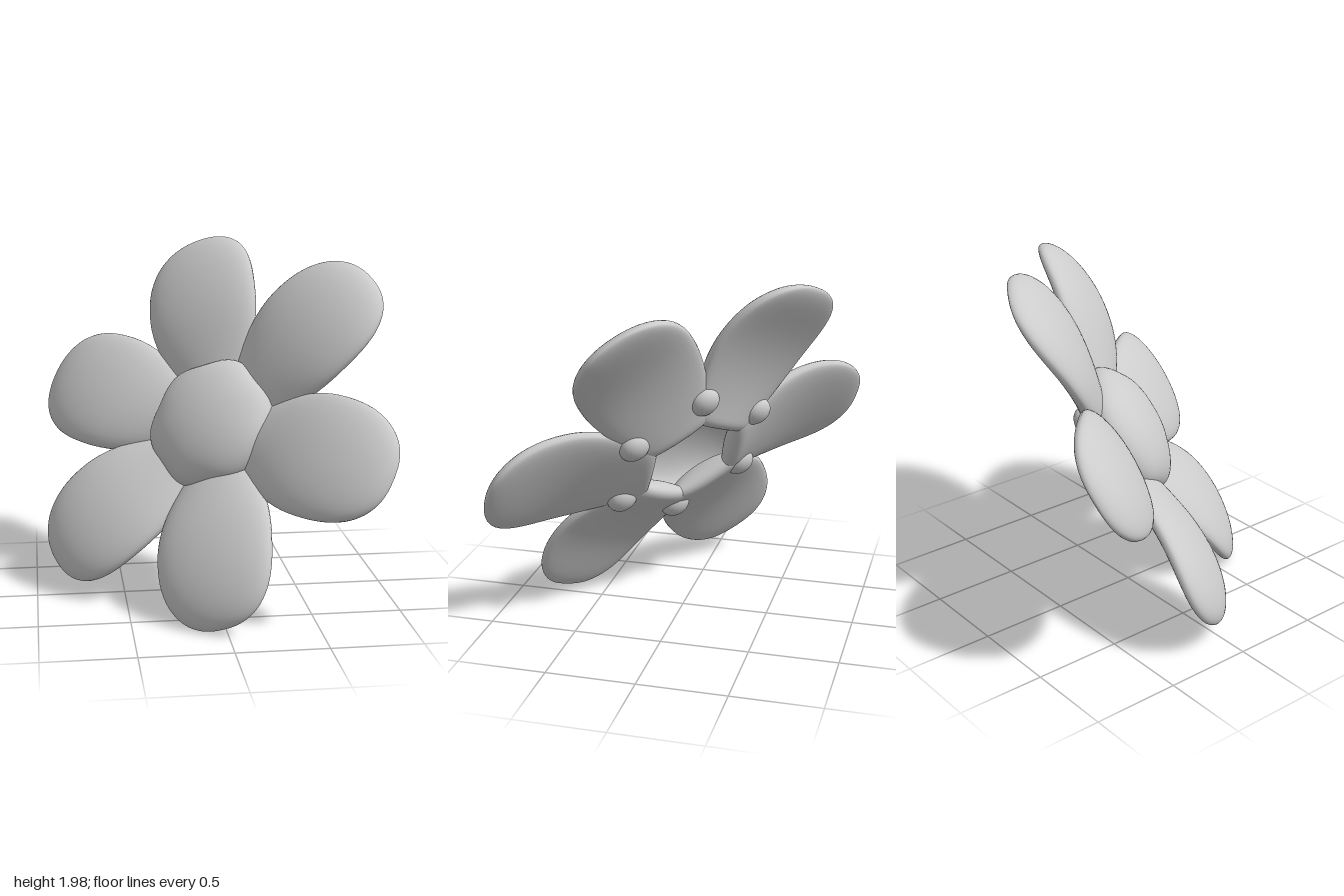
import * as THREE from 'three';

const material = new THREE.MeshStandardMaterial({ color: 0xcccccc });
const shellMaterial = new THREE.MeshStandardMaterial({ color: 0xcccccc, side: THREE.DoubleSide });

const BASE = 0.25, WIDEST = 0.76, TIP = 1.215;

// Half width of a petal at distance r from the flower's axis
function halfWidth(r) {
  if (r < WIDEST) return 0.2 + 0.15 * Math.sin(((r - BASE) / (WIDEST - BASE)) * Math.PI / 2);
  const q = Math.min(1, (r - WIDEST) / (TIP - WIDEST));
  return 0.35 * Math.pow(1 - Math.pow(q, 2.5), 1 / 2.3);
}

// Thickness factor: rounded off at the base and towards the tip
function fullness(r) {
  const base = Math.max(0, (BASE + 0.08 - r) / 0.08);
  const tip = Math.max(0, (r - WIDEST) / (TIP - WIDEST));
  return Math.sqrt(Math.max(0, 1 - base * base)) * Math.sqrt(Math.max(0, 1 - tip ** 4));
}

// Petal along +x, arched along its length: domed front (+z), flatter back
function petalGeometry(rows = 44, sides = 40) {
  const positions = [], index = [];
  for (let i = 0; i <= rows; i++) {
    const r = (BASE + TIP) / 2 - Math.cos((Math.PI * i) / rows) * (TIP - BASE) / 2;
    const q = (r - BASE) / (TIP - BASE);
    const w = halfWidth(r), full = fullness(r);
    const mid = -0.09 * (1 - q) + 0.08 * Math.sin(Math.PI * q);
    for (let j = 0; j < sides; j++) {
      const a = (j / sides) * Math.PI * 2, s = Math.sin(a);
      const lift = s >= 0 ? 0.09 * s : -(0.07 - 0.02 * q) * Math.pow(-s, 0.6);
      positions.push(r, w * Math.cos(a), mid + lift * full);
    }
  }
  for (let i = 0; i < rows; i++) {
    for (let j = 0; j < sides; j++) {
      const a = i * sides + j, b = i * sides + ((j + 1) % sides);
      index.push(a, b, a + sides, b, b + sides, a + sides);
    }
  }
  const geometry = new THREE.BufferGeometry();
  geometry.setAttribute('position', new THREE.Float32BufferAttribute(positions, 3));
  geometry.setIndex(index);
  geometry.computeVertexNormals();
  return geometry;
}

// Flower centre: thin domed shell, open at the back, softly six-sided
function centreGeometry() {
  const points = [];
  for (let i = 0; i <= 24; i++) {
    const a = (1 - i / 24) * 1.75;
    points.push(new THREE.Vector2(0.375 * Math.sin(a), 0.17 * Math.cos(a)));
  }
  const geometry = new THREE.LatheGeometry(points, 60).rotateX(Math.PI / 2);
  const p = geometry.attributes.position;
  for (let i = 0; i < p.count; i++) {
    const x = p.getX(i), y = p.getY(i);
    const k = 1 - 0.035 * Math.cos(6 * Math.atan2(y, x)) * Math.hypot(x, y) / 0.375;
    p.setXY(i, x * k, y * k);
  }
  return geometry;
}

export function createModel() {
  const flower = new THREE.Group();
  flower.name = 'flower';

  const centre = new THREE.Mesh(centreGeometry(), shellMaterial);
  centre.name = 'centre';
  flower.add(centre);

  const petal = petalGeometry();
  const knob = new THREE.SphereGeometry(0.088, 24, 16).scale(1, 1, 0.75);
  for (let k = 0; k < 6; k++) {
    const angle = (k * Math.PI) / 3;
    const petalMesh = new THREE.Mesh(petal, material);
    petalMesh.name = 'petal' + (k + 1);
    petalMesh.rotation.z = angle;
    flower.add(petalMesh);

    // Small knob on the back where two petals meet
    const knobMesh = new THREE.Mesh(knob, material);
    const between = angle + Math.PI / 6;
    knobMesh.name = 'knob' + (k + 1);
    knobMesh.position.set(0.45 * Math.cos(between), 0.45 * Math.sin(between), -0.07);
    flower.add(knobMesh);
  }

  // Tilt the flower: its face looks along "facing", one petal points along "first"
  const facing = new THREE.Vector3(-0.57, 0.519, 0.635).normalize();
  const first = new THREE.Vector3(0.72, 0.68, 0.1);
  first.addScaledVector(facing, -first.dot(facing)).normalize();
  const second = new THREE.Vector3().crossVectors(facing, first);
  flower.quaternion.setFromRotationMatrix(new THREE.Matrix4().makeBasis(first, second, facing));
  flower.position.y = 1;

  const model = new THREE.Group();
  model.name = 'model';
  model.add(flower);
  return model;
}
